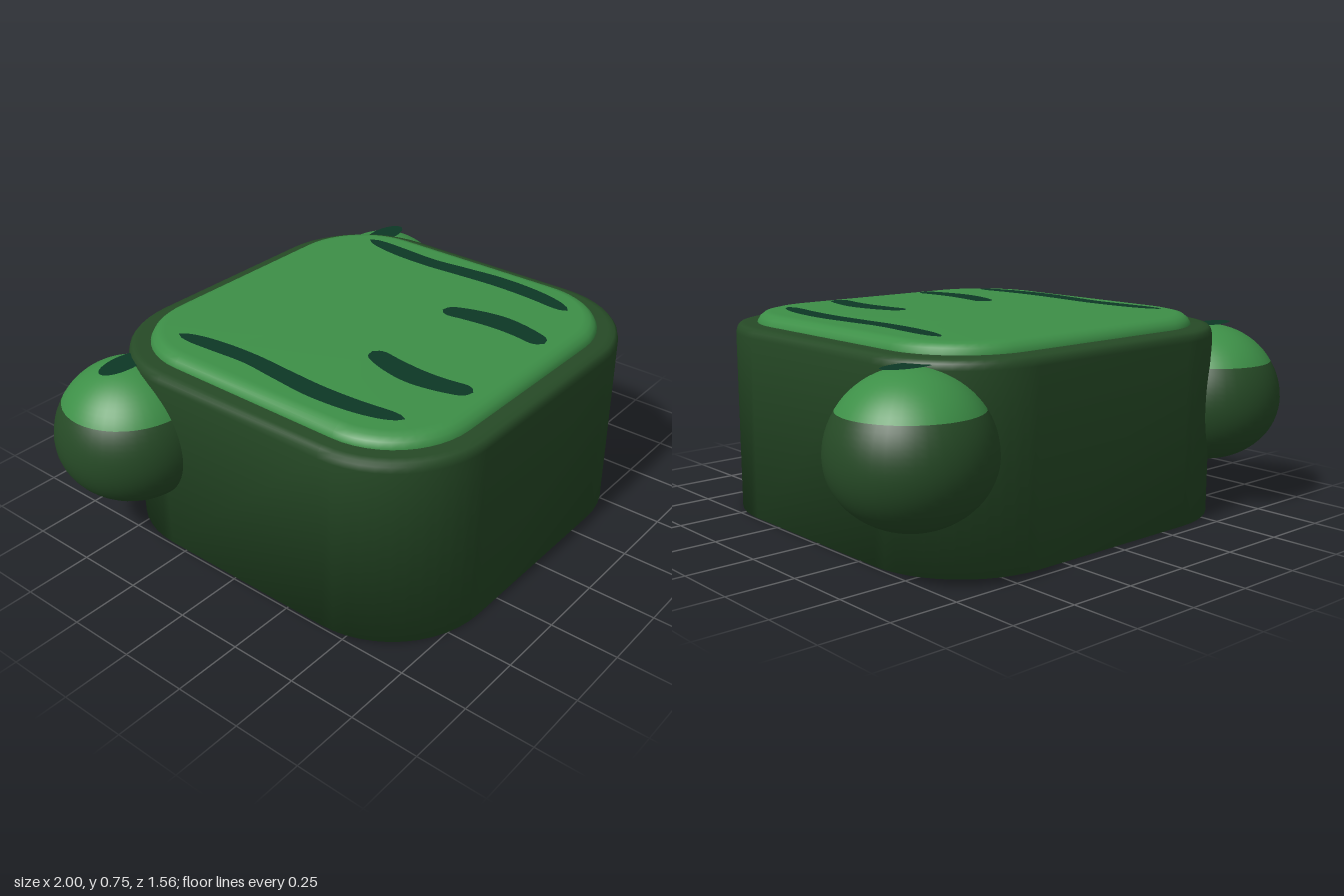
import * as THREE from 'three';

const material = (name, color, side = THREE.FrontSide) => {
  const m = new THREE.MeshStandardMaterial({ color, side });
  m.name = name;
  return m;
};

const CENTRE_Z = 0.037;

// Points round a square with rounded corners
function roundedSquare(half, radius, steps = 12) {
  const points = [];
  for (let corner = 0; corner < 4; corner++) {
    const mid = (corner + 0.5) * Math.PI / 2;
    const cx = Math.sign(Math.cos(mid)) * (half - radius);
    const cz = Math.sign(Math.sin(mid)) * (half - radius);
    for (let i = 0; i <= steps; i++) {
      const a = (corner + i / steps) * Math.PI / 2;
      points.push([cx + radius * Math.cos(a), cz + radius * Math.sin(a)]);
    }
  }
  return points;
}

// Closed smooth solid through rounded squares; each section is [half, radius, y]
function loft(sections) {
  const positions = [], index = [];
  let n = 0;
  for (const [half, radius, y] of sections) {
    const ring = roundedSquare(half, radius);
    n = ring.length;
    for (const [x, z] of ring) positions.push(x, y, z + CENTRE_Z);
  }
  const last = sections.length - 1;
  const bottom = n * sections.length, top = bottom + 1;
  positions.push(0, sections[0][2], CENTRE_Z, 0, sections[last][2], CENTRE_Z);
  for (let j = 0; j < n; j++) {
    const k = (j + 1) % n;
    for (let i = 0; i < last; i++) {
      const a = i * n + j, b = i * n + k;
      index.push(a, a + n, b, b, a + n, b + n);
    }
    index.push(bottom, j, k, top, last * n + k, last * n + j);
  }
  const geometry = new THREE.BufferGeometry();
  geometry.setAttribute('position', new THREE.Float32BufferAttribute(positions, 3));
  geometry.setIndex(index);
  geometry.computeVertexNormals();
  return geometry;
}

// Flat horizontal face from a list of [x, z] points
function plate(points) {
  const shape = new THREE.Shape(points.map(([x, z]) => new THREE.Vector2(x, -z)));
  return new THREE.ShapeGeometry(shape).rotateX(-Math.PI / 2);
}

// Brush-like stripe with round ends; each spine entry is [x, z, halfWidth]
function stripe(spine, side) {
  const curve = new THREE.CatmullRomCurve3(spine.map(p => new THREE.Vector3(...p)));
  const left = [], right = [], steps = 40;
  for (let i = 0; i <= steps; i++) {
    const t = i / steps, p = curve.getPoint(t), d = curve.getTangent(t);
    const len = Math.hypot(d.x, d.y);
    const end = Math.min(t, 1 - t) / 0.1;
    const w = p.z * (end < 1 ? Math.sqrt(1 - (1 - end) ** 2) : 1);
    const ox = -d.y / len * w, oz = d.x / len * w;
    left.push([side * (p.x + ox), p.y + oz]);
    if (i > 0 && i < steps) right.unshift([side * (p.x - ox), p.y - oz]);
  }
  return plate([...left, ...right]);
}

function ellipse(rx, rz, turn = 0) {
  const points = [];
  for (let i = 0; i < 32; i++) {
    const a = i / 32 * Math.PI * 2, x = rx * Math.cos(a), z = rz * Math.sin(a);
    points.push([x * Math.cos(turn) - z * Math.sin(turn), x * Math.sin(turn) + z * Math.cos(turn)]);
  }
  return plate(points);
}

export function createModel() {
  const darkGreen = material('dark green', 0x264a26);
  const leafGreen = material('leaf green', 0x3d8f47);
  const leafSpot = leafGreen;
  const deepTeal = material('deep teal', 0x0d3825, THREE.DoubleSide);

  const model = new THREE.Group();
  model.name = 'frogBox';
  const add = (name, geometry, mat, x = 0, y = 0, z = 0) => {
    const mesh = new THREE.Mesh(geometry, mat);
    mesh.name = name;
    mesh.position.set(x, y, z);
    model.add(mesh);
    return mesh;
  };

  // Block body with softened upper edge
  add('body', loft([
    [0.74, 0.38, 0], [0.74, 0.38, 0.67], [0.735, 0.375, 0.69],
    [0.725, 0.365, 0.701], [0.705, 0.35, 0.705],
  ]), darkGreen);

  // Raised face panel
  add('facePanel', loft([
    [0.665, 0.31, 0.68], [0.662, 0.307, 0.708], [0.652, 0.297, 0.726],
    [0.635, 0.28, 0.739], [0.61, 0.26, 0.745],
  ]), leafGreen);

  const cheek = [[0.535, -0.425, 0.026], [0.515, -0.25, 0.035], [0.508, -0.1, 0.034],
    [0.52, 0.05, 0.037], [0.531, 0.22, 0.04], [0.518, 0.4, 0.036], [0.485, 0.545, 0.026]];
  const nostril = [[0.205, 0.185, 0.034], [0.235, 0.29, 0.045], [0.25, 0.4, 0.049],
    [0.242, 0.5, 0.044], [0.215, 0.615, 0.036]];

  for (const side of [-1, 1]) {
    const label = side > 0 ? 'left' : 'right';

    // Ball eye: green upper cap, slightly flattened dark underside
    const r = 0.278, eyeX = side * 0.722, eyeY = 0.405, eyeZ = -0.503;
    const split = Math.acos(0.145 / r);
    add(label + 'EyeTop', new THREE.SphereGeometry(r, 40, 12, 0, Math.PI * 2, 0, split),
      leafGreen, eyeX, eyeY, eyeZ);
    const ball = new THREE.SphereGeometry(r, 40, 24, 0, Math.PI * 2, split, Math.PI - split);
    const p = ball.attributes.position;
    for (let i = 0; i < p.count; i++) if (p.getY(i) < 0) p.setY(i, p.getY(i) * 0.865);
    add(label + 'EyeBall', ball, darkGreen, eyeX, eyeY, eyeZ);
    add(label + 'Pupil', ellipse(0.105, 0.05), deepTeal, side * 0.73, 0.687, eyeZ);

    // Painted face marks
    add(label + 'CheekStripe', stripe(cheek, side), deepTeal, 0, 0.749, 0);
    add(label + 'Nostril', stripe(nostril, side), deepTeal, 0, 0.749, 0);
    add(label + 'BrowSpot', ellipse(0.079, 0.053, side * 0.3), leafSpot, side * 0.388, 0.753, -0.403);
  }
  return model;
}
